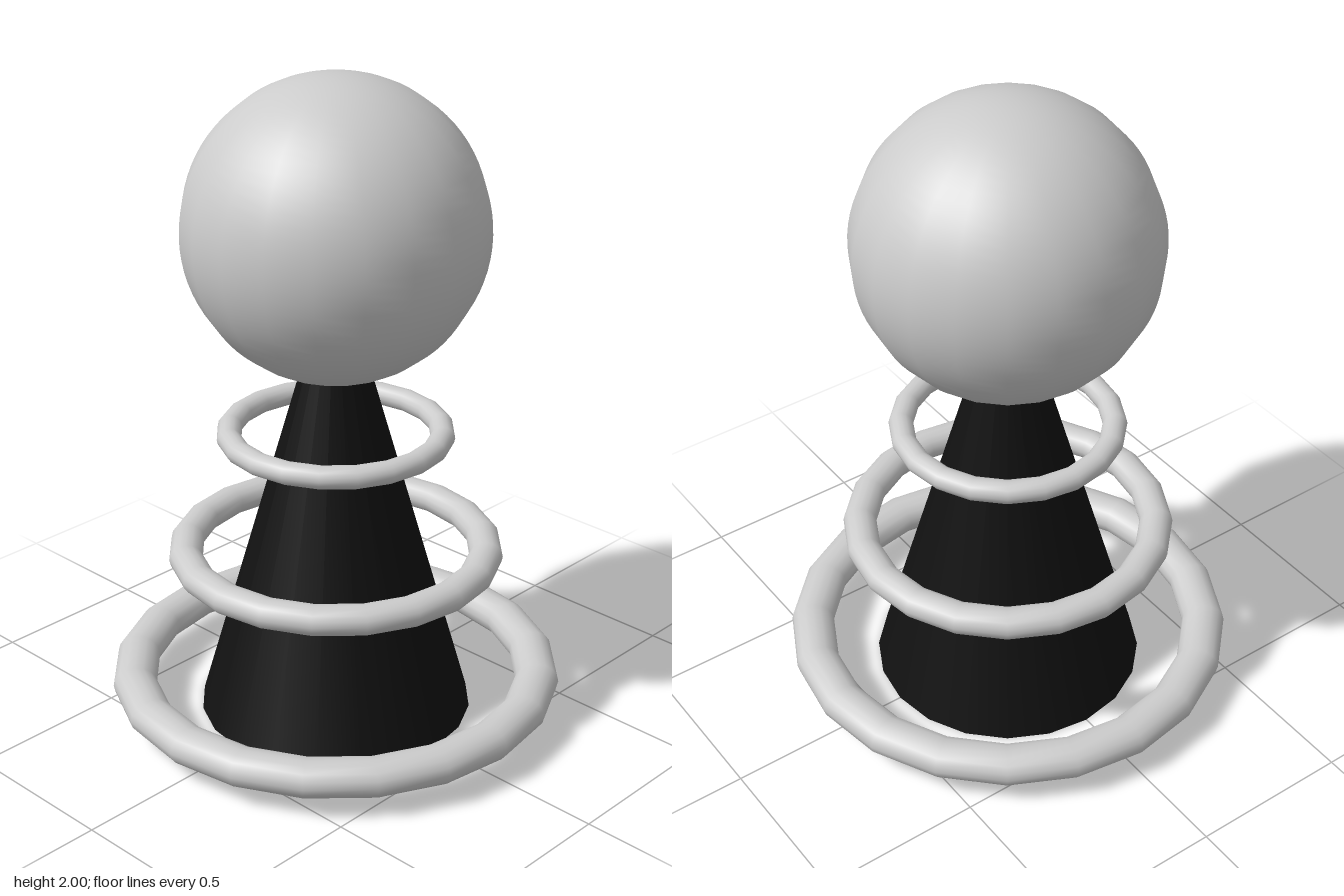
import * as THREE from 'three';

const SIDES = 20;

export function createModel() {
  const model = new THREE.Group();
  const grey = new THREE.MeshStandardMaterial({ color: 0xcccccc });
  const black = new THREE.MeshStandardMaterial({ color: 0x111111 });

  function add(name, geometry, material, y) {
    const mesh = new THREE.Mesh(geometry, material);
    mesh.name = name;
    mesh.position.y = y;
    model.add(mesh);
  }

  // Cone body, its tip hidden inside the head
  add('body', new THREE.ConeGeometry(0.42, 1.48, SIDES), black, 0.74);

  // Ball head
  add('head', new THREE.SphereGeometry(0.45, SIDES, 40), grey, 1.55);

  // Floating rings, slightly flattened: outer radius, half width, half height, y
  const rings = [
    ['lowerRing', 0.695, 0.067, 0.056, 0.11],
    ['middleRing', 0.51, 0.051, 0.045, 0.53],
    ['upperRing', 0.357, 0.037, 0.034, 0.915],
  ];
  for (const [name, outer, halfWidth, halfHeight, y] of rings) {
    const ring = new THREE.TorusGeometry(outer - halfWidth, halfWidth, 16, SIDES);
    ring.rotateX(-Math.PI / 2);
    ring.scale(1, halfHeight / halfWidth, 1);
    add(name, ring, grey, y);
  }
  return model;
}
